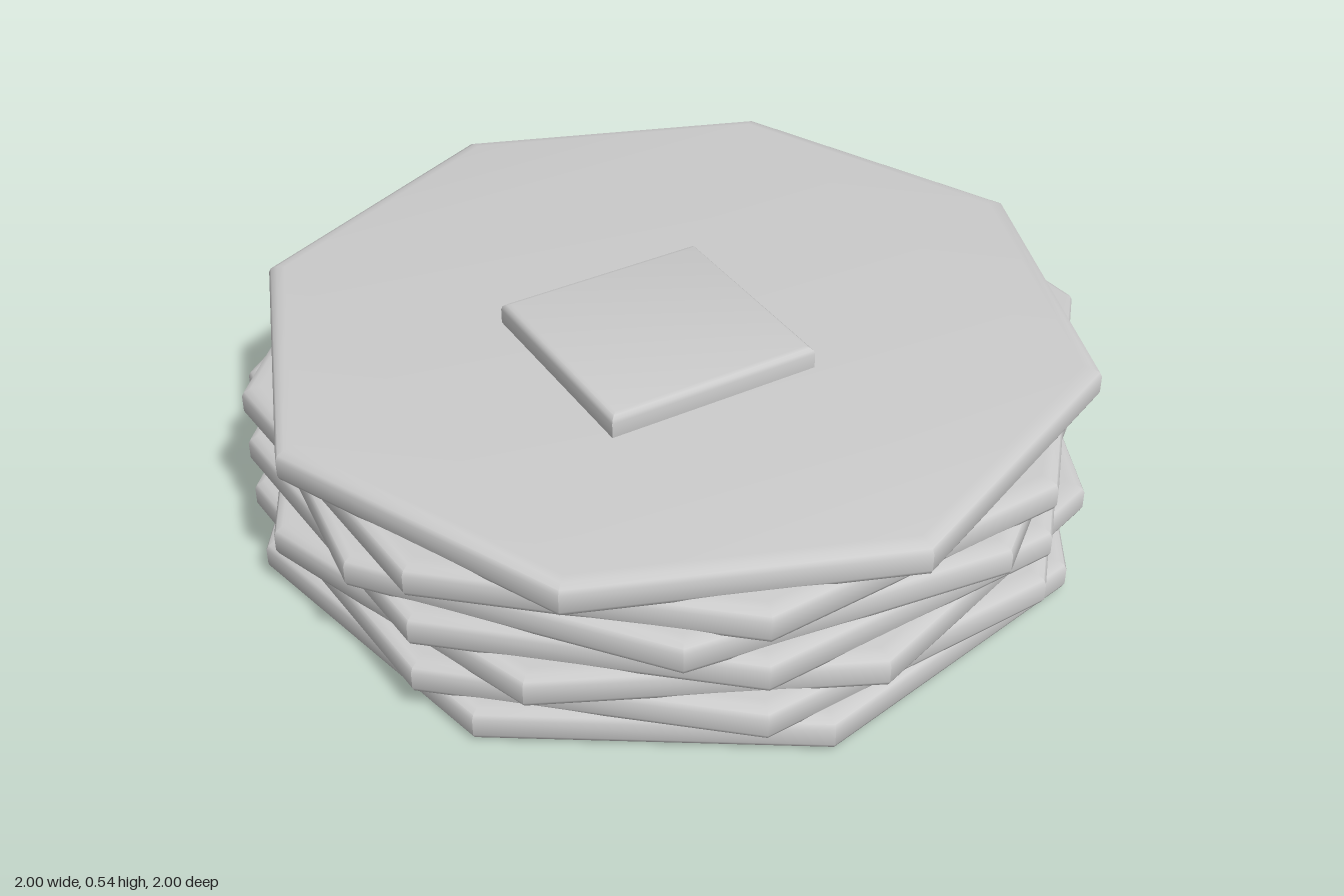
import * as THREE from 'three';
import { toCreasedNormals } from 'three/addons/utils/BufferGeometryUtils.js';

const material = new THREE.MeshStandardMaterial({ color: 0xcccccc });

// Flat regular polygon slab with rounded rims, standing on y = 0
function slab(sides, radius, angle, height, bevelHeight, inset) {
  const points = [];
  for (let i = 0; i < sides; i++) {
    const a = THREE.MathUtils.degToRad(angle) + (i / sides) * Math.PI * 2;
    points.push(new THREE.Vector2(radius * Math.cos(a), radius * Math.sin(a)));
  }
  const geometry = new THREE.ExtrudeGeometry(new THREE.Shape(points), {
    depth: height - 2 * bevelHeight,
    bevelThickness: bevelHeight,
    bevelSize: inset,
    bevelOffset: -inset,
    bevelSegments: 3,
  });
  geometry.translate(0, 0, bevelHeight);
  geometry.rotateX(-Math.PI / 2);
  return toCreasedNormals(geometry, THREE.MathUtils.degToRad(40));
}

export function createModel() {
  const group = new THREE.Group();

  // Stack of octagonal plates, each turned by its own angle
  const turns = [8.6, 0, 15.6, 0, -10.2, 0, 20.5];
  turns.forEach((turn, i) => {
    const plate = new THREE.Mesh(slab(8, 1, turn, 0.086, 0.022, 0.04), material);
    plate.name = `plate${i + 1}`;
    plate.position.y = i * 0.067;
    group.add(plate);
  });

  // Small square pat lying off-centre on the top plate
  const pat = new THREE.Mesh(slab(4, 0.37, 19, 0.075, 0.018, 0.018), material);
  pat.name = 'squarePat';
  pat.position.set(0.04, 0.467, 0.122);
  group.add(pat);

  return group;
}
